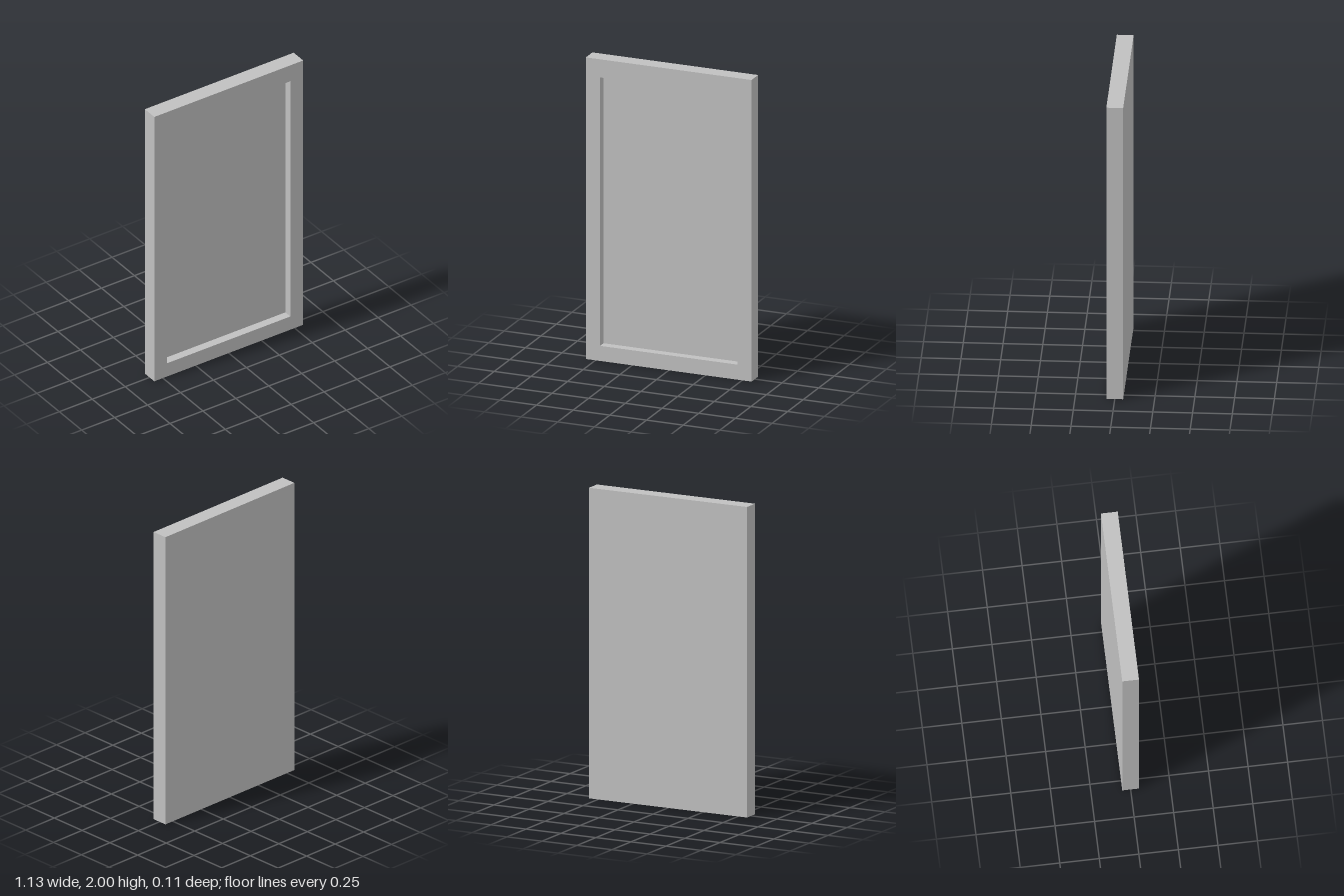
import * as THREE from 'three';

const WIDTH = 1.13, HEIGHT = 2, DEPTH = 0.106;
const RECESS = 0.056; // depth of the recess in the front

// Counter-clockwise rectangle from its edges
function rectangle(PathType, left, right, bottom, top) {
  const path = new PathType();
  path.moveTo(left, bottom);
  path.lineTo(right, bottom);
  path.lineTo(right, top);
  path.lineTo(left, top);
  path.closePath();
  return path;
}

export function createModel() {
  const model = new THREE.Group();
  model.name = 'framedPanel';

  const grey = new THREE.MeshStandardMaterial({ color: 0xc0c0c0 });
  grey.name = 'grey';

  // Solid back slab, whose front is the floor of the recess
  const slabDepth = DEPTH - RECESS;
  const backPanel = new THREE.Mesh(new THREE.BoxGeometry(WIDTH, HEIGHT, slabDepth), grey);
  backPanel.name = 'backPanel';
  backPanel.position.set(0, HEIGHT / 2, -DEPTH / 2 + slabDepth / 2);
  model.add(backPanel);

  // Raised border, slightly wider at the top than at the bottom
  const outline = rectangle(THREE.Shape, -WIDTH / 2, WIDTH / 2, 0, HEIGHT);
  outline.holes.push(rectangle(THREE.Path, -0.468, 0.468, 0.1, 1.88));
  const frame = new THREE.Mesh(
    new THREE.ExtrudeGeometry(outline, { depth: RECESS, bevelEnabled: false }),
    grey
  );
  frame.name = 'frame';
  frame.position.z = DEPTH / 2 - RECESS;
  model.add(frame);

  return model;
}
